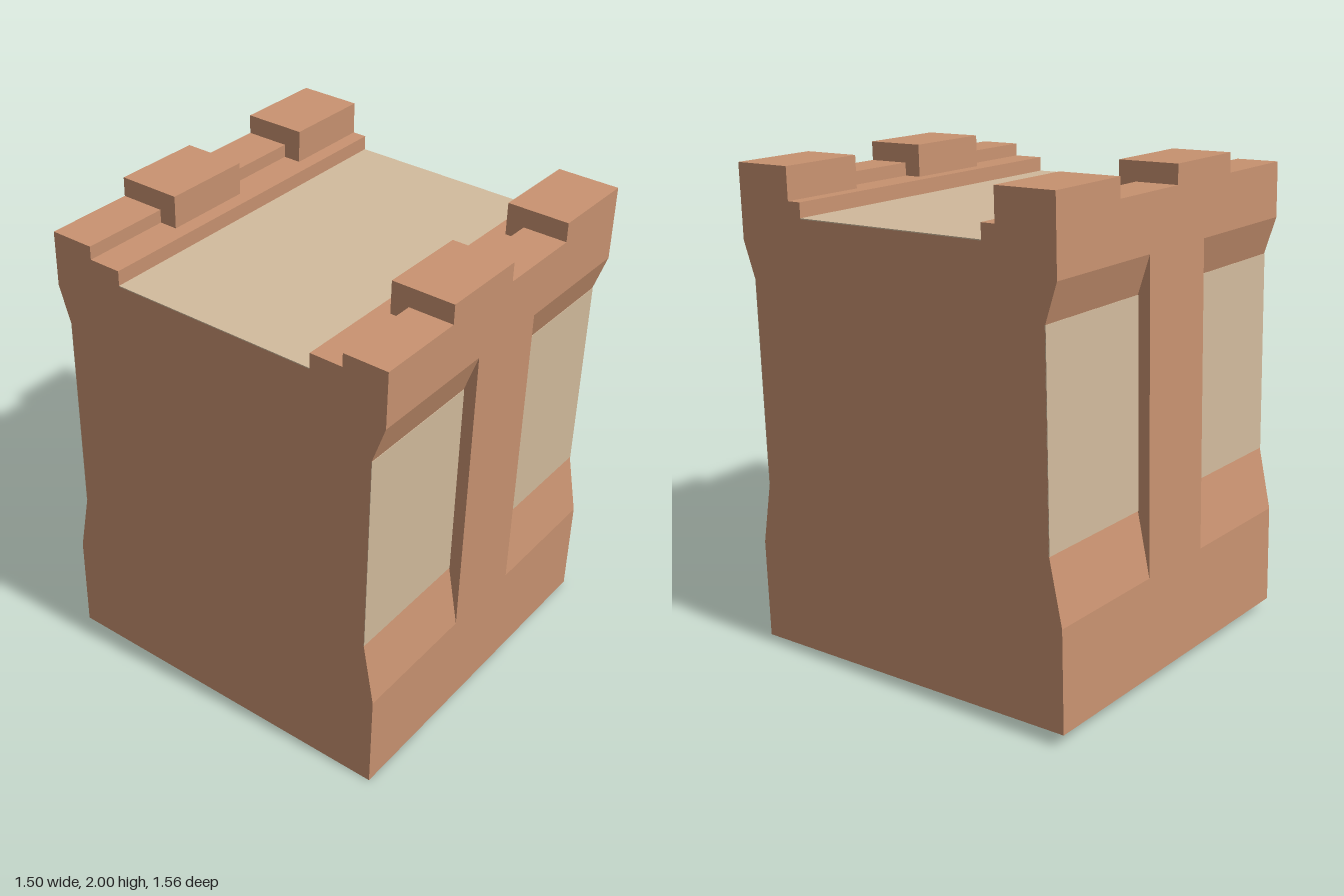
import * as THREE from 'three';

const HALF_W = 0.7435, HALF_D = 0.7455; // half width and depth of the block
const SUNK = 0.694;                     // depth of the recessed wall faces
const FLOOR = 1.756, LEDGE = 1.817, LOW = 1.87, HIGH = 1.947;
const R = [0.41, 0.67, 1.495, 1.648];   // heights of the recess bends
const PILLAR_W = 0.37;

// Extrude a (z, y) outline along x, centred on the given x
function prism(points, width, x = 0) {
  const shape = new THREE.Shape(points.map(([z, y]) => new THREE.Vector2(z, y)));
  const geo = new THREE.ExtrudeGeometry(shape, { depth: width, bevelEnabled: false });
  return geo.translate(0, 0, -width / 2).rotateY(-Math.PI / 2).translate(x, 0, 0);
}

export function createModel() {
  const brick = new THREE.MeshStandardMaterial({ name: 'terracotta', color: 0xc89270 });
  const sand = new THREE.MeshStandardMaterial({ name: 'sand', color: 0xd1ba9c });
  const block = new THREE.Group();
  block.name = 'towerBlock';

  const add = (name, geo, mat) => {
    const mesh = new THREE.Mesh(geo, mat);
    mesh.name = name;
    block.add(mesh);
  };

  // Body: one cross-section with recessed walls, low parapets and inner ledges
  const half = [
    [HALF_D, 0], [HALF_D, R[0]], [SUNK, R[1]], [SUNK, R[2]], [HALF_D, R[3]],
    [HALF_D, LOW], [0.564, LOW], [0.564, LEDGE], [0.43, LEDGE], [0.43, FLOOR],
  ];
  const mirrored = half.map(([z, y]) => [-z, y]).reverse();
  add('body', prism([...half, ...mirrored], HALF_W * 2), brick);

  // Roof floor
  add('roofFloor', new THREE.BoxGeometry(HALF_W * 2, 0.004, 0.86).translate(0, FLOOR, 0), sand);

  const quarter = HALF_W / 2;
  const panelW = HALF_W - PILLAR_W / 2;
  for (const side of [1, -1]) {
    const end = side > 0 ? 'front' : 'back';
    const flip = (pts) => pts.map(([z, y]) => [z * side, y]);

    // Central pillar fills the middle of the recess flush with the wall
    add(end + 'Pillar', prism(flip([
      [HALF_D, R[0]], [HALF_D, R[3]], [SUNK, R[2]], [SUNK, R[1]],
    ]), PILLAR_W), brick);

    // Sand coloured wall panels on both sides of the pillar
    for (const s of [-1, 1]) {
      const panel = new THREE.BoxGeometry(panelW, R[2] - R[1], 0.004);
      panel.translate(s * (PILLAR_W + panelW * 2) / 2 - s * panelW / 2, (R[1] + R[2]) / 2, side * SUNK);
      add(end + 'Panel', panel, sand);
    }

    // Raised merlons on every other quarter of the parapet
    for (const x of [-quarter / 2, quarter * 1.5]) {
      add(end + 'Merlon', prism(flip([
        [0.49, LEDGE], [0.564, LEDGE], [0.564, LOW], [HALF_D, LOW], [HALF_D, HIGH], [0.49, HIGH],
      ]), quarter, x), brick);
    }
  }

  // The whole block leans slightly
  block.rotation.set(0.0305, -0.004, 0.005);
  block.position.set(0.001, 0.028, -0.03);

  const model = new THREE.Group();
  model.name = 'model';
  model.add(block);
  return model;
}
